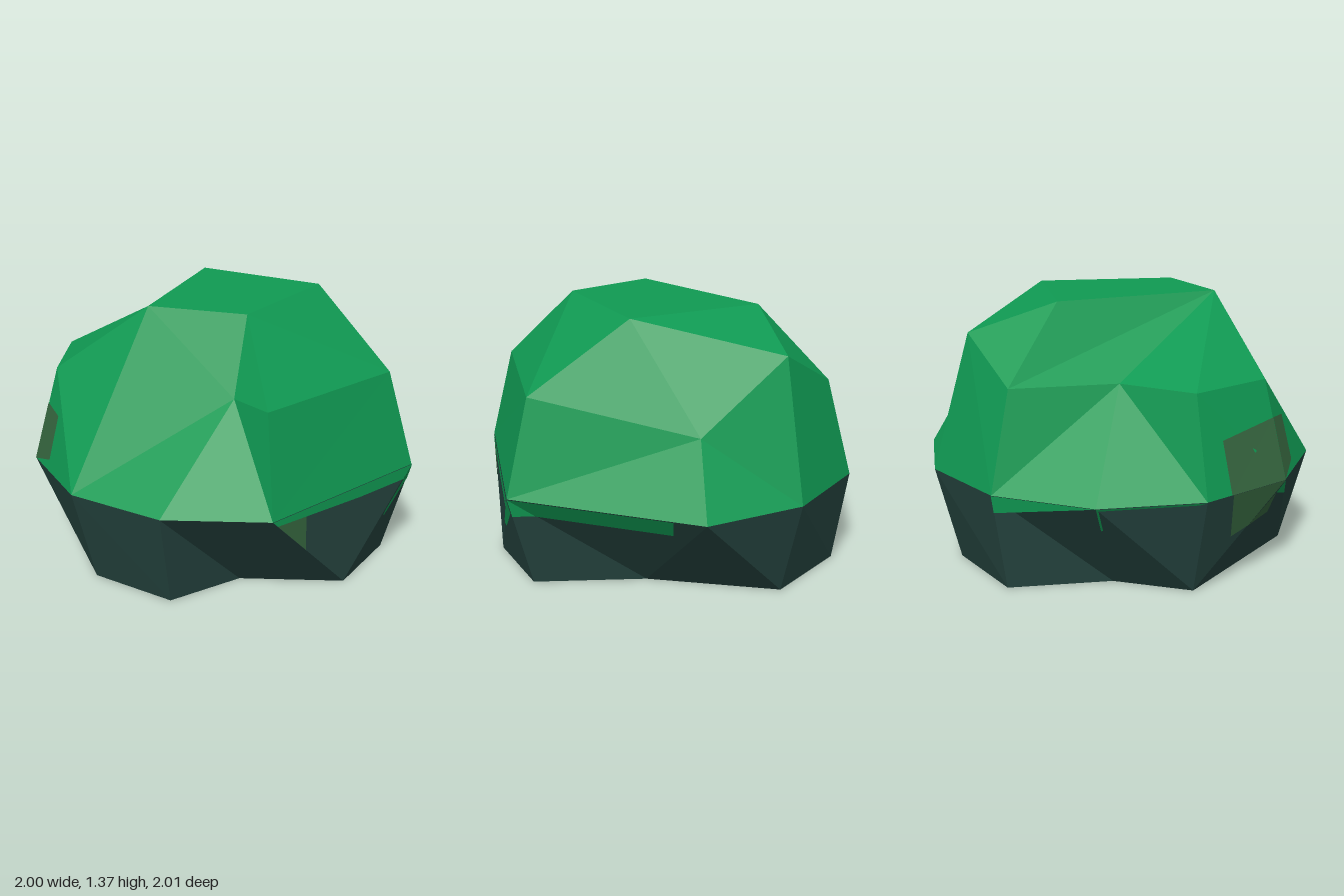
import * as THREE from 'three';

const V = (x, y, z) => new THREE.Vector3(x, y, z);
const CENTRE = V(0, 0.6, 0);

// Ring corners, from the front going anticlockwise as seen from above
const crown = [[-0.14, 0.5], [0.5, 0.13], [0.13, -0.5], [-0.5, 0.13]].map(([x, z]) => V(x, 1.37, z));
const [T1, T2, T3, T4] = crown;
const rim = [[-0.27, 1], [0.73, 0.73], [1, -0.27], [0.73, -0.73], [0.27, -1],
  [-0.27, -1], [-0.73, -0.73], [-1, -0.27], [-1, 0.27], [-0.73, 0.73]].map(([x, z]) => V(x, 0.5, z));
const [E1, E2, E3, E4, E5, E6, E7, E8, E9, E10] = rim;
const foot = [[0.63, 0.63], [0.23, 0.87], [-0.23, 0.6], [-0.64, 0.64], [-0.87, 0.23],
  [-0.64, -0.64], [-0.23, -0.67], [0.23, -0.93], [0.64, -0.64], [0.56, 0.05]].map(([x, z]) => V(x, 0, z));
const [A, B, C, D, E, F, G, H, I, J] = foot;
const U1 = V(-0.23, 1, 0.87), U2 = V(0.63, 1, 0.63), U3 = V(0.79, 0.86, -0.23), U4 = V(0.56, 1.21, -0.64);
const U5 = V(0.23, 1, -0.87), U6 = V(-0.23, 1, -0.58), U7 = V(-0.64, 1, -0.64), U8 = V(-0.87, 1, -0.23);
const U10 = V(-0.28, 1, 0.63);

// Flat-shaded facets, each fanned from its first corner and turned outward
function facets(name, faces, material, lift = 0) {
  const pos = [];
  for (const f of faces) {
    for (let i = 1; i < f.length - 1; i++) {
      let [a, b, c] = [f[0], f[i], f[i + 1]];
      const n = b.clone().sub(a).cross(c.clone().sub(a)).normalize();
      if (n.dot(a.clone().sub(CENTRE)) < 0) {
        [b, c] = [c, b];
        n.negate();
      }
      for (const p of [a, b, c]) pos.push(...p.clone().addScaledVector(n, lift).toArray());
    }
  }
  const g = new THREE.BufferGeometry();
  g.setAttribute('position', new THREE.Float32BufferAttribute(pos, 3));
  g.computeVertexNormals();
  const m = new THREE.Mesh(g, material);
  m.name = name;
  return m;
}

// Polygon drawn on the facet o, p, q, in fractions along its two edges
const on = (o, p, q, pts) => pts.map(([s, t]) =>
  o.clone().addScaledVector(p.clone().sub(o), s).addScaledVector(q.clone().sub(o), t));

// Polygon drawn on a four-sided facet: u along the bottom, v upward
const onTri = (a, b, c, d, pts) => pts.map(([u, v]) =>
  a.clone().lerp(b, u).lerp(d.clone().lerp(c, u), v));

export function createModel() {
  const moss = new THREE.MeshStandardMaterial({ color: 0x109a53 });
  moss.name = 'moss green';
  const stone = new THREE.MeshStandardMaterial({ color: 0x25443f });
  stone.name = 'dark stone';
  const lichen = new THREE.MeshStandardMaterial({ color: 0x36663f });
  lichen.name = 'olive lichen';

  const group = new THREE.Group();
  group.name = 'mossyRock';

  // Moss-covered upper half
  group.add(facets('mossCap', [
    [T1, T2, T3, T4], [T3, T2, U4],
    [T1, U1, U2, T2], [E1, E2, U2, U1],
    [T2, U2, U3, U4], [E2, E3, U3, U2], [U3, E3, E4, U4],
    [U4, E4, E5, U5], [T3, U4, U5],
    [T4, T3, U5, U6], [U6, U5, E5, E6], [U6, E6, E7, U7],
    [T4, U6, U7, U8], [U7, E7, E8, U8],
    [U8, E8, E9], [T4, U8, E9], [T4, E9, U10], [T4, U10, T1],
    [E9, E10, U10], [E1, U1, U10, E10], [T1, U10, U1],
  ], moss));

  // Bare stone lower half and its underside
  group.add(facets('stoneBase', [
    [E1, B, E2], [E2, B, A], [E2, A, J, E3], [E3, J, I, E4], [E4, I, H, E5],
    [E5, H, G, E6], [E6, G, F, E7], [E7, F, E8], [E8, F, E], [E8, E, E9],
    [E9, E, D, E10], [E10, D, C, E1], [E1, C, B],
    ...foot.map((p, i) => [V(0, 0, 0), p, foot[(i + 1) % foot.length]]),
  ], stone));

  // Moss hanging over the rim
  group.add(facets('mossFringe', [
    on(E1, B, E2, [[0, 0], [0.06, 0], [0.12, 0.54], [0.13, 0.87], [0, 1]]),
    on(E2, J, E3, [[0, 0], [0.2, 0], [0.2, 0.7], [0, 0.84]]),
    on(E2, A, J, [[0, 0], [0.2, 0], [0, 0.2]]),
    on(E2, B, A, [[0, 0], [0.38, 0], [0.42, 0.03], [0.38, 0.08], [0, 0.16]]),
    on(E5, H, E6, [[0, 0], [0.18, 0], [0, 1]]),
    on(E6, G, E7, [[0, 0], [0.28, 0], [0, 1]]),
    on(E8, F, E, [[0, 0], [0.1, 0.02], [0, 0.2]]),
  ], moss, 0.004));

  // Lichen patches on the front and the back left
  group.add(facets('lichenPatch', [
    on(E1, B, E2, [[0.06, 0], [0.44, 0], [0.08, 0.18]]),
    onTri(E7, E8, U8, U7, [[0.3, 0], [1, 0], [1, 0.62], [0.27, 0.52]]),
    on(E8, U8, E9, [[0, 0], [0.11, 0.34], [0.575, 0.31], [0.62, 0]]),
    on(E7, F, E8, [[0, 0.32], [0.48, 0.375], [0.41, 0.59], [0, 1]]),
    on(E8, F, E, [[0.1, 0.02], [0.41, 0], [0.19, 0.18]]),
  ], lichen, 0.003));

  return group;
}
